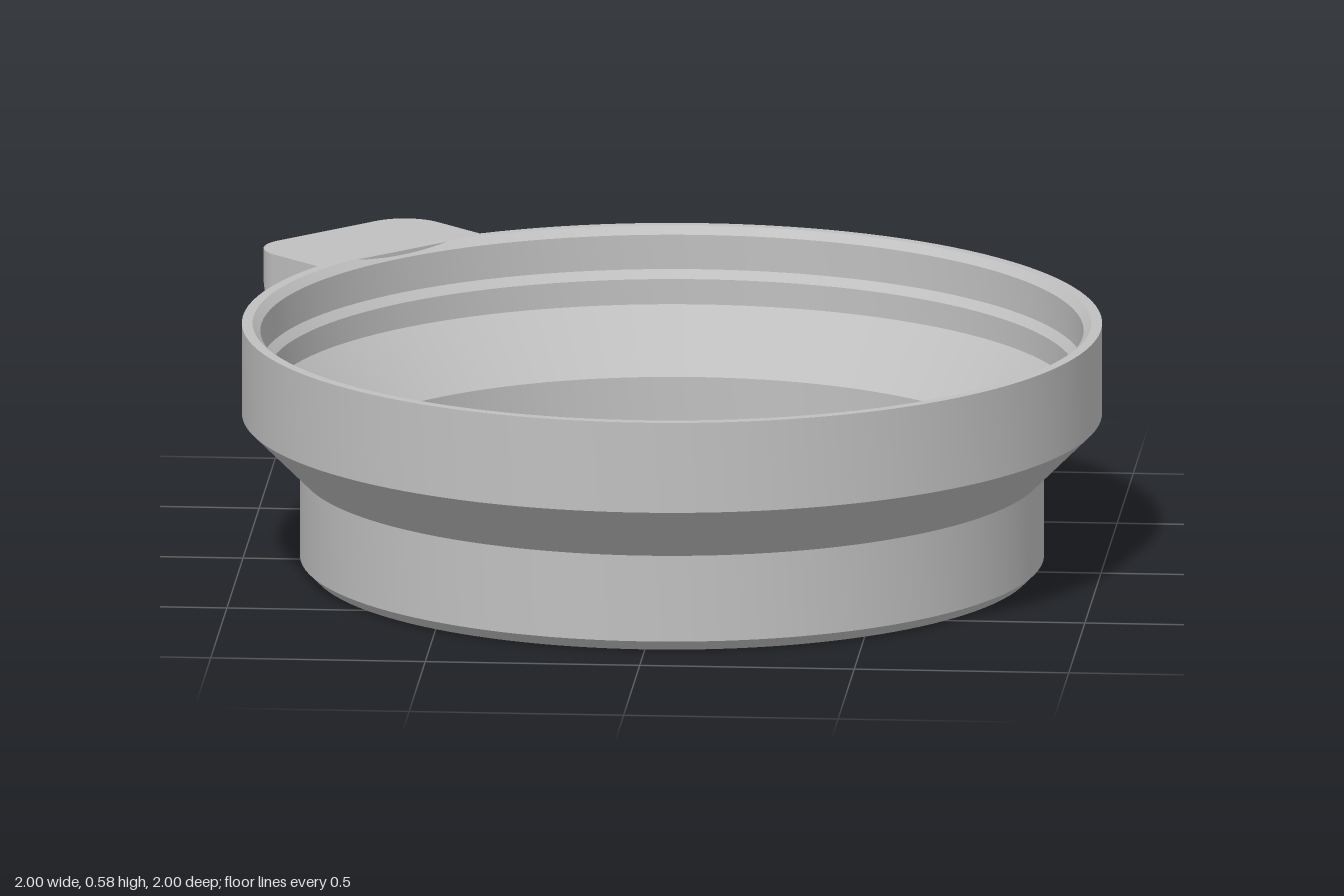
import * as THREE from 'three';
import { toCreasedNormals } from 'three/addons/utils/BufferGeometryUtils.js';

export function createModel() {
  const model = new THREE.Group();
  model.name = 'lid';
  const grey = new THREE.MeshStandardMaterial({ color: 0xc0c0c0 });
  grey.name = 'plain grey';

  const addPart = (name, geometry) => {
    const mesh = new THREE.Mesh(toCreasedNormals(geometry, 0.4), grey);
    mesh.name = name;
    model.add(mesh);
    return mesh;
  };

  // Stepped cup: up the outer wall, over the rim, down the inner wall to the floor
  const profile = [
    [0, 0], [0.84, 0], [0.865, 0.025], [0.865, 0.23], [1, 0.365], [1, 0.58],
    [0.975, 0.58], [0.957, 0.562], [0.957, 0.48], [0.94, 0.46], [0.94, 0.4],
    [0.82, 0.255], [0.82, 0.15], [0.805, 0.13], [0.805, 0.067], [0, 0.067],
  ].map(([r, y]) => new THREE.Vector2(r, y));
  addPart('cup', new THREE.LatheGeometry(profile, 128));

  // Pull tab outline: half width, inner and outer edge, corner radius
  const w = 0.25, inner = 0.963, outer = 1.228, r = 0.1, top = 0.578;
  const outline = new THREE.Shape();
  outline.moveTo(-w, inner);
  outline.lineTo(w, inner);
  outline.lineTo(w, outer - r);
  outline.absarc(w - r, outer - r, r, 0, Math.PI / 2);
  outline.lineTo(-w + r, outer);
  outline.absarc(-w + r, outer - r, r, Math.PI / 2, Math.PI);
  outline.closePath();
  const tab = new THREE.ExtrudeGeometry(outline, { depth: 1, bevelEnabled: false, curveSegments: 12 });
  tab.rotateX(-Math.PI / 2);

  // Slope the underside from the wall up to a thin outer edge
  const p = tab.attributes.position;
  for (let i = 0; i < p.count; i++) {
    const under = 0.25 + (-p.getZ(i) - inner) * 1.1;
    p.setY(i, p.getY(i) > 0.5 ? top : under);
  }
  tab.rotateY(Math.PI / 4);
  addPart('pullTab', tab);

  return model;
}
